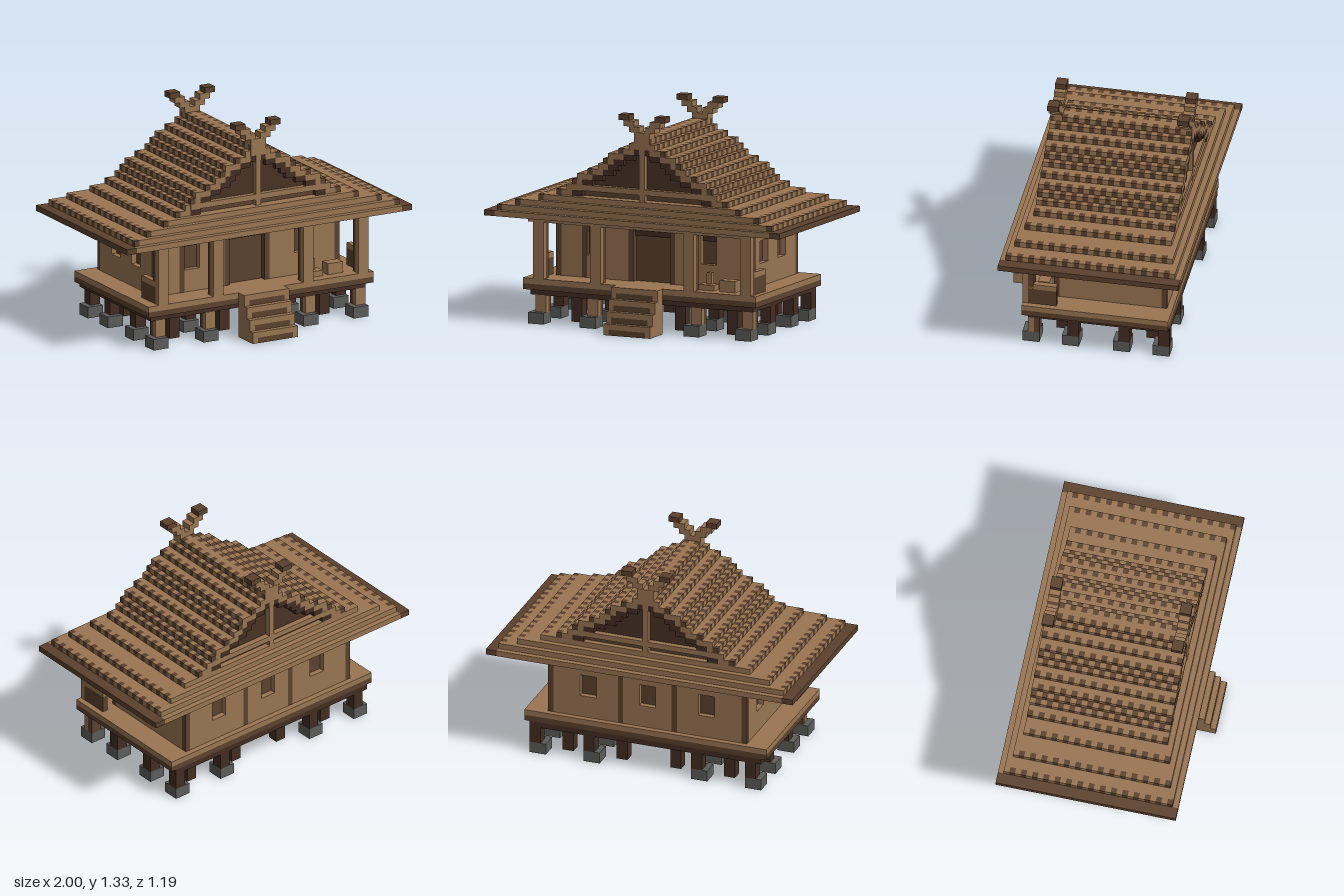
import * as THREE from 'three';
import { mergeGeometries } from 'three/addons/utils/BufferGeometryUtils.js';

const U = 2 / 57; // size of one block

export function createModel() {
  const root = new THREE.Group();
  root.name = 'stiltHouse';
  const mat = (name, color) => {
    const m = new THREE.MeshStandardMaterial({ color });
    m.name = name;
    return m;
  };
  const light = mat('lightWood', 0x997552);
  const mid = mat('brownWood', 0x5c412d);
  const panel = mat('gableWood', 0x4a3225);
  const dark = mat('darkWood', 0x432c22);
  const stone = mat('stone', 0x5c5c5a);

  // Boxes are given in blocks and merged per part name and colour
  const parts = new Map();
  const box = (name, m, x0, x1, y0, y1, z0, z1) => {
    const g = new THREE.BoxGeometry((x1 - x0) * U, (y1 - y0) * U, (z1 - z0) * U);
    g.translate((x0 + x1) / 2 * U, (y0 + y1) / 2 * U, (z0 + z1) / 2 * U);
    const key = name + '|' + m.name;
    if (!parts.has(key)) parts.set(key, { name, m, geos: [] });
    parts.get(key).geos.push(g);
  };
  const mirrored = (name, m, x0, x1, ...rest) => {
    box(name, m, x0, x1, ...rest);
    box(name, m, -x1, -x0, ...rest);
  };

  // Footing stones with short posts
  const stones = [[-21.5, -20.5], [-11.5, -10.5], [8.5, 9.5], [18.5, 19.5]];
  for (const [sx, px] of stones) {
    for (const z of [-14, -7, 2, 9]) {
      box('footingStone', stone, sx, sx + 3, 0, 2, z, z + 3);
      if (z === 9) {
        box('frontFootPost', light, px, px + 2, 2, 5, 10, 11);
        box('frontFootPost', mid, px, px + 2, 2, 5, 9, 10);
      } else box('footPost', dark, px, px + 2, 2, 5, z, z + 2);
    }
  }
  // Long stilts standing on the ground
  for (const x of [-15.5, -5.5, 4.5, 14.5])
    for (const z of [-11, 5]) box('stilt', dark, x, x + 2, 0, 5, z, z + 2);

  // Raised floor
  box('floorFrame', dark, -21.5, 21.5, 5, 6, -14, 11);
  box('floorEdge', mid, -22.5, 22.5, 6, 7, -14, 12);
  box('deck', light, -22.5, 22.5, 7, 8, -14, 12);

  // Stairs: side strings, treads and dark risers
  for (let i = 0; i < 4; i++) {
    const y = i * 2, z = 17 - i;
    mirrored('stairString', light, 3.5, 4.5, y, y + 2, 12, z);
    box('stairRiser', mid, -3.5, 3.5, y, y + 1, 12, z);
    box('stairTread', light, -3.5, 3.5, y + 1, y + 2, 12, z);
  }

  // Walls: a run along x or z, pierced by [start, end, bottom, top] openings
  const wall = (alongX, a0, a1, b0, b1, openings) => {
    const put = (m, s, e, y0, y1) => {
      if (e <= s || y1 <= y0) return;
      if (alongX) box('wall', m, s, e, y0, y1, b0, b1);
      else box('wall', m, b0, b1, y0, y1, s, e);
    };
    let at = a0;
    for (const [s, e, y0, y1] of openings) {
      put(light, at, s, 8, 19);
      put(light, s, e, 8, y0);
      put(light, s, e, y1, 19);
      at = e;
    }
    put(light, at, a1, 8, 19);
  };
  wall(true, -17.5, 17.5, 6, 7,
    [[-13.5, -12.5, 8, 19], [-12.5, -9.5, 12, 17], [-4.5, 4.5, 8, 18], [9.5, 12.5, 12, 17]]);
  wall(true, -17.5, 17.5, -13, -12,
    [[-12.5, -9.5, 12, 16], [-5.5, -4.5, 8, 19], [-1.5, 1.5, 12, 16], [4.5, 5.5, 8, 19], [9.5, 12.5, 12, 16]]);
  for (const x of [-18.5, 17.5]) wall(false, -12, 6, x, x + 1, [[-8, -5, 12, 16], [-1, 2, 12, 16]]);

  // Dark core seen through the openings
  box('roomCore', mid, -17.5, 17.5, 8, 19, -12, 6);
  // Wall posts
  for (const z of [-13, 6]) mirrored('cornerPost', mid, 17.5, 18.5, 8, 19, z, z + 1);
  mirrored('backWallPost', mid, 4.5, 5.5, 8, 19, -13, -12);
  box('frontWallPost', mid, -13.5, -12.5, 8, 19, 6, 7);
  // Door frame and lintels
  mirrored('doorFrame', mid, 3.5, 4.5, 8, 18, 6, 7);
  box('doorFrame', mid, -3.5, 3.5, 17, 18, 6, 7);
  box('doorLintel', dark, -3.5, 3.5, 16, 17, 6, 6.25);
  mirrored('windowLintel', dark, 9.5, 12.5, 16, 17, 6, 6.25);

  // Porch posts, beam and side railings
  for (const x of [-20.5, -9.5, 8.5, 19.5]) {
    box('porchPost', light, x, x + 2, 8, 18, 11, 12);
    box('porchPost', mid, x, x + 2, 8, 19, 10, 11);
  }
  box('porchBeam', light, -21.5, 21.5, 18, 19, 11, 12);
  for (const x of [-20.5, 20.5]) {
    box('railPanel', mid, x, x + 1, 8, 11, 6, 11);
    box('handRail', light, x, x + 1, 11, 12, 6, 12);
  }
  // Small goods on the porch
  box('porchCrate', light, 14.5, 17.5, 8, 10, 8, 10);
  box('porchStool', light, 10.5, 13.5, 8, 9, 8, 10);
  box('porchJar', light, 11.5, 12.5, 9, 11, 8, 9);

  // Eaves with dark side edges
  box('eaves', light, -26.5, 26.5, 19, 20, -17, 15);
  mirrored('eavesEdge', mid, 26.5, 28.5, 19, 20, -17, 15);

  // Stepped roof: half-width of each course, from the eaves up
  const widths = [26.5, 23.5, 19.5, 16.5, 14.5, 13.5, 12.5, 10.5, 8.5, 7.5, 6.5, 4.5, 2.5, 1.5];
  widths.forEach((w, i) => {
    const y = 20 + i;
    const inset = Math.min(i, 2);
    const z0 = i < 3 ? -16 + inset : -14, z1 = i < 3 ? 14 - inset : 11;
    // Chequered outer tiles
    for (let z = z0; z < z1; z++) {
      const m = (z + y + 100) % 2 ? mid : light;
      mirrored('roofTile', m, w - 1, w, y, y + 1, z, z + 1);
    }
    if (i < 3) {
      box('lowerRoof', light, 1 - w, w - 1, y, y + 1, z0, z1);
      return;
    }
    // Upper courses: light tread, dark rake beneath, recessed gable panel
    const inner = Math.max(0, (widths[i + 1] ?? 0) - 1);
    const rake = Math.max(0, inner - 2);
    if (w - 1 > inner) mirrored('roofCourse', light, inner, w - 1, y, y + 1, z0, z1);
    if (inner > rake) mirrored('rake', dark, rake, inner, y, y + 1, z0, z1);
    if (rake > 0) box('gablePanel', i === 3 ? mid : panel, -rake, rake, y, y + 1, -13, 10);
  });

  // Gable beams, king posts and crossed ridge horns at both ends
  for (const [z, out] of [[9, 11], [-14, -14]]) {
    const f0 = out > 0 ? 10 : -14.02, f1 = out > 0 ? 11.02 : -13;
    box('gableBeam', light, -13.5, 13.5, 24, 25, f0, f1);
    box('kingPost', light, -0.5, 0.5, 23, 34, f0, f1);
    box('ridgeHorn', light, -1.5, 1.5, 32, 35, f0, f1);
    box('ridgeHorn', light, -1.5, 1.5, 34, 35, z, z + 2);
    mirrored('ridgeHorn', light, 0.5, 2.5, 35, 36, z, z + 2);
    mirrored('ridgeHorn', light, 1.5, 3.5, 36, 37, z, z + 2);
    mirrored('hornTip', mid, 2.5, 4.5, 37, 38, z, z + 2);
  }

  for (const { name, m, geos } of parts.values()) {
    const mesh = new THREE.Mesh(mergeGeometries(geos), m);
    mesh.name = name;
    root.add(mesh);
  }
  return root;
}
